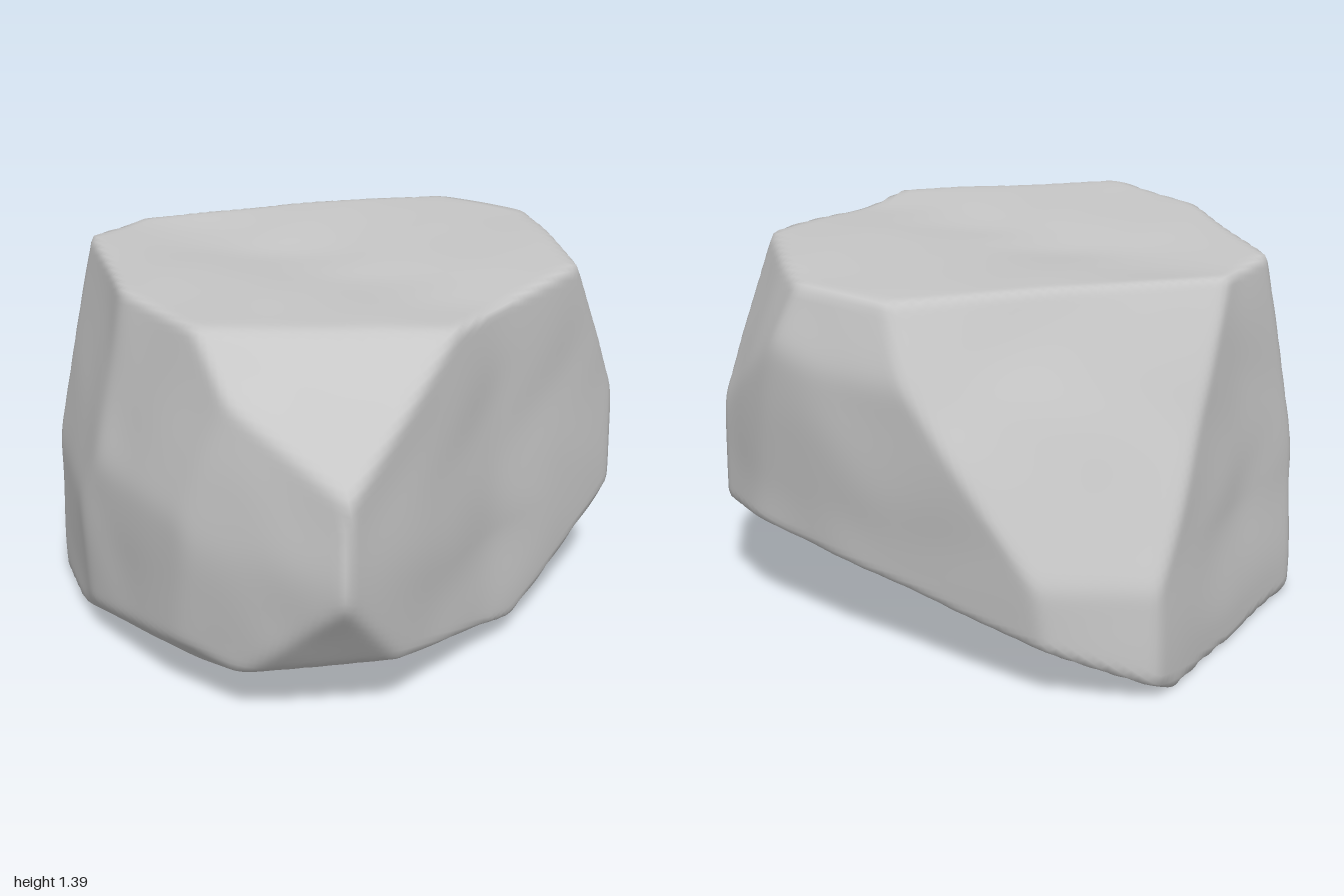
import * as THREE from 'three';
import { mergeVertices } from 'three/addons/utils/BufferGeometryUtils.js';

const CENTRE = new THREE.Vector3(0, 0.7, 0);

// Facets by region: yaw from the front (degrees), pitch (degrees), distance from the centre.
const REGIONS = {
  top: [[0, 90, 0.682]],
  front: [[1, 2, 0.89], [0, -5.5, 0.908]],
  frontCorners: [[-50.9, 52.1, 1.012], [48.3, 22.7, 1.128], [65.8, 0, 1.088], [-46.3, -37.7, 1.085]],
  leftSide: [[86.2, -5.7, 0.974], [93, -5.7, 0.951], [92, 14, 1.066]],
  backLeftCorner: [[139.6, 25.2, 0.85], [135.9, 0, 1.062]],
  back: [[-177, 4.1, 0.868], [-177.7, -0.6, 0.886]],
  backRightCorner: [[-126.4, 11.9, 0.853], [-126, -2.5, 0.902]],
  rightSide: [[-106.1, 12.8, 0.893], [-106.3, -2.2, 0.897], [-85, -6.5, 1.026], [-85, 5.7, 1.027]],
  underside: [[0, -87, 0.652], [73.2, -63.8, 0.71], [-36.7, -69.4, 0.782], [-95, -45, 0.985]],
};

const FACETS = Object.values(REGIONS).flat().map(([yaw, pitch, distance]) => ({
  normal: new THREE.Vector3().setFromSphericalCoords(
    1, THREE.MathUtils.degToRad(90 - pitch), THREE.MathUtils.degToRad(yaw)),
  distance,
}));

// Distance to the nearest facet along a direction, blended so the edges look worn.
function facetRadius(dir) {
  const sharpness = 110;
  let sum = 0;
  for (const { normal, distance } of FACETS) {
    sum += Math.max(normal.dot(dir) / distance, 0) ** sharpness;
  }
  return sum ** (-1 / sharpness);
}

// Irregular lumps from warped waves; a higher frequency gives smaller lumps.
function lumps({ x, y, z }, frequency) {
  const wave = (a, b, phase) => Math.sin(frequency * a + 2 * Math.sin(0.6 * frequency * b + phase));
  return wave(x, y, 1) + wave(y, z, 2) + wave(z, x, 3);
}

// A shallow hollow running over the front, top and back.
function hollow({ x, y }) {
  return 0.035 * Math.exp(-((x / 0.35) ** 2)) * THREE.MathUtils.smoothstep(y, -0.6, -0.2);
}

// Push a fine sphere out to the facets, sharing vertices for smooth normals.
function boulderGeometry() {
  const sphere = new THREE.IcosahedronGeometry(1, 48);
  sphere.deleteAttribute('normal');
  sphere.deleteAttribute('uv');
  const geometry = mergeVertices(sphere, 1e-5);
  const position = geometry.attributes.position;
  const dir = new THREE.Vector3();
  const point = new THREE.Vector3();
  for (let i = 0; i < position.count; i++) {
    dir.fromBufferAttribute(position, i).normalize();
    point.copy(dir).multiplyScalar(facetRadius(dir));
    const relief = 0.0035 * lumps(point, 5) + 0.0015 * lumps(point, 12) - hollow(point);
    point.addScaledVector(dir, relief).add(CENTRE);
    position.setXYZ(i, point.x, point.y, point.z);
  }
  geometry.computeVertexNormals();
  return geometry;
}

export function createModel() {
  const group = new THREE.Group();
  group.name = 'rock';
  const stone = new THREE.MeshStandardMaterial({ color: 0xc6c6c6 });
  stone.name = 'stone grey';
  const boulder = new THREE.Mesh(boulderGeometry(), stone);
  boulder.name = 'boulder';
  group.add(boulder);
  return group;
}
